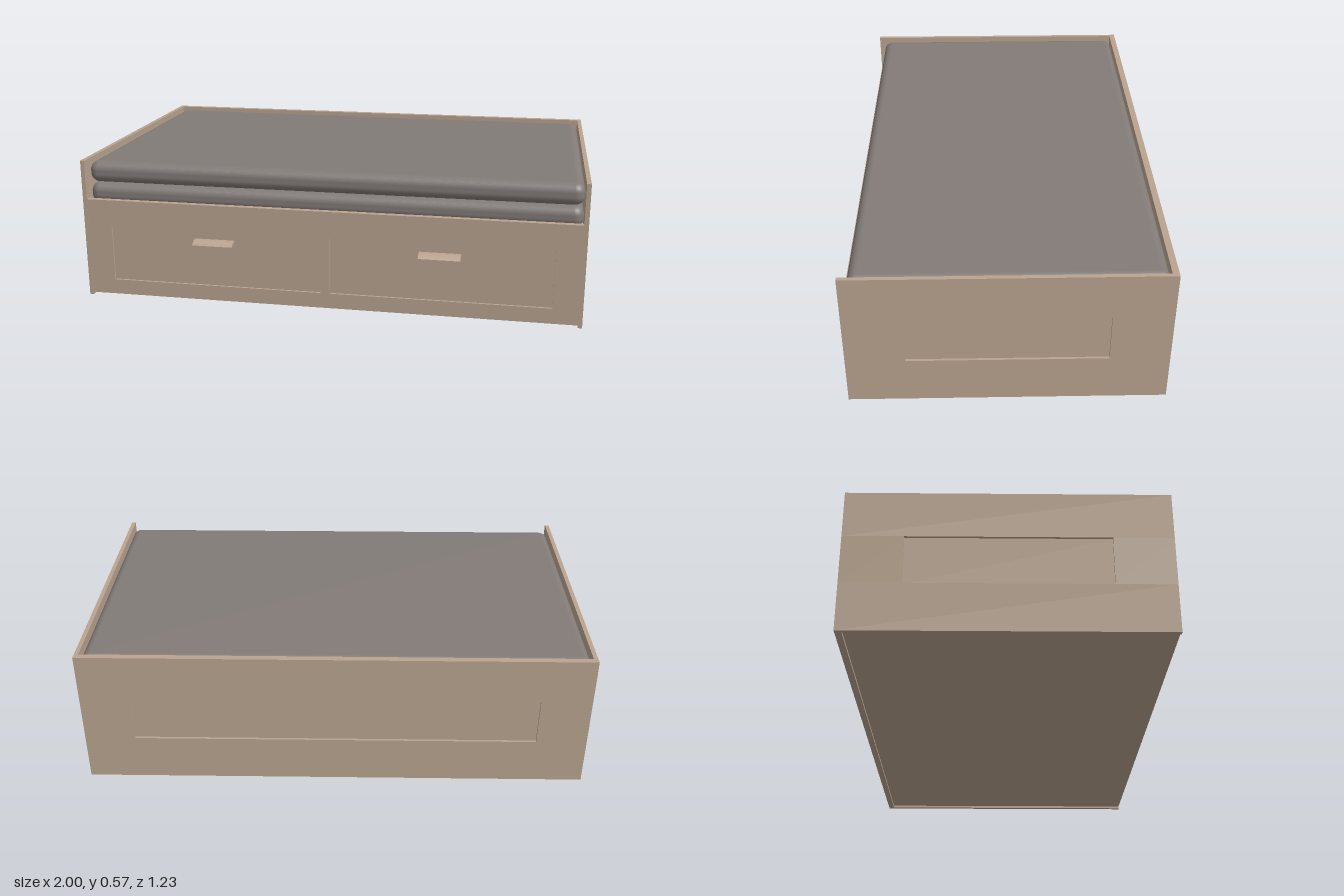
import * as THREE from 'three';
import { RoundedBoxGeometry } from 'three/addons/geometries/RoundedBoxGeometry.js';

export function createModel() {
  const wood = new THREE.MeshStandardMaterial({ color: 0xb9a48f });
  wood.name = 'tan wood';
  const fabric = new THREE.MeshStandardMaterial({ color: 0x827b78 });
  fabric.name = 'grey fabric';

  const model = new THREE.Group();
  model.name = 'storageBed';

  // Board given by its two extreme corners
  function board(name, [x0, x1], [y0, y1], [z0, z1], parent = model) {
    const mesh = new THREE.Mesh(new THREE.BoxGeometry(x1 - x0, y1 - y0, z1 - z0), wood);
    mesh.position.set((x0 + x1) / 2, (y0 + y1) / 2, (z0 + z1) / 2);
    mesh.name = name;
    parent.add(mesh);
  }

  const back = -0.615, front = 0.585, top = 0.57;
  const thick = 0.017, inset = 0.01;
  const low = 0.19, high = 0.383;

  // End panels: two rails, two stiles and a recessed centre
  for (const s of [-1, 1]) {
    const end = new THREE.Group();
    end.name = s > 0 ? 'leftEnd' : 'rightEnd';
    const span = (a, b) => (s > 0 ? [a, b] : [-b, -a]);
    const x = span(1 - thick, 1);
    board('lowerRail', x, [0, low], [back, front], end);
    board('upperRail', x, [high, top], [back, front], end);
    board('frontStile', x, [low, high], [0.363, front], end);
    board('backStile', x, [low, high], [back, -0.39], end);
    board('recessedPanel', span(1 - thick, 1 - inset), [low, high], [-0.39, 0.363], end);
    model.add(end);
  }

  // Back panel built the same way
  const inner = 1 - thick;
  const backPanel = new THREE.Group();
  backPanel.name = 'backPanel';
  const backZ = [back, back + 0.025];
  board('lowerRail', [-inner, inner], [0, low], backZ, backPanel);
  board('upperRail', [-inner, inner], [high, top], backZ, backPanel);
  board('leftStile', [0.8, inner], [low, high], backZ, backPanel);
  board('rightStile', [-inner, -0.8], [low, high], backZ, backPanel);
  board('recessedPanel', [-0.8, 0.8], [low, high], [back + inset, back + 0.025], backPanel);
  model.add(backPanel);

  // Front frame around the drawers
  const frontFrame = new THREE.Group();
  frontFrame.name = 'frontFrame';
  const frontZ = [front - 0.025, front - 0.001];
  board('lowerRail', [-inner, inner], [0.01, 0.072], frontZ, frontFrame);
  board('upperRail', [-inner, inner], [0.305, 0.41], frontZ, frontFrame);
  board('middleStile', [-0.02, 0.015], [0.072, 0.305], frontZ, frontFrame);
  board('leftStile', [0.885, inner], [0.072, 0.305], frontZ, frontFrame);
  board('rightStile', [-inner, -0.885], [0.072, 0.305], frontZ, frontFrame);
  model.add(frontFrame);

  // Drawers with curved lip handles
  const lip = new THREE.Shape();
  lip.moveTo(-0.012, 0.252);
  lip.lineTo(0.003, 0.252);
  lip.quadraticCurveTo(0.018, 0.251, 0.031, 0.245);
  lip.lineTo(0.031, 0.251);
  lip.quadraticCurveTo(0.018, 0.265, 0.003, 0.267);
  lip.lineTo(-0.012, 0.267);
  const handleGeometry = new THREE.ExtrudeGeometry(lip, { depth: 0.163, bevelEnabled: false, curveSegments: 6 });
  handleGeometry.rotateY(-Math.PI / 2);
  for (const [side, x0, x1, cx] of [['left', 0.015, 0.885, 0.45], ['right', -0.885, -0.02, -0.453]]) {
    board(side + 'Drawer', [x0, x1], [0.072, 0.305], [front - 0.025, front - inset]);
    const handle = new THREE.Mesh(handleGeometry, wood);
    handle.name = side + 'Handle';
    handle.position.set(cx + 0.0815, 0, front);
    model.add(handle);
  }

  // Base and mattress deck
  board('base', [-inner, inner], [0.01, 0.025], [back + 0.025, front - 0.025]);
  board('deck', [-inner, inner], [0.365, 0.385], [back + 0.025, front - 0.025]);

  // Two stacked mattresses
  for (const [name, y0, y1] of [['lowerMattress', 0.385, 0.47], ['upperMattress', 0.472, 0.558]]) {
    const mesh = new THREE.Mesh(new RoundedBoxGeometry(1.964, y1 - y0, 1.146, 5, 0.036), fabric);
    mesh.position.set(0, (y0 + y1) / 2, -0.017);
    mesh.name = name;
    model.add(mesh);
  }

  return model;
}
